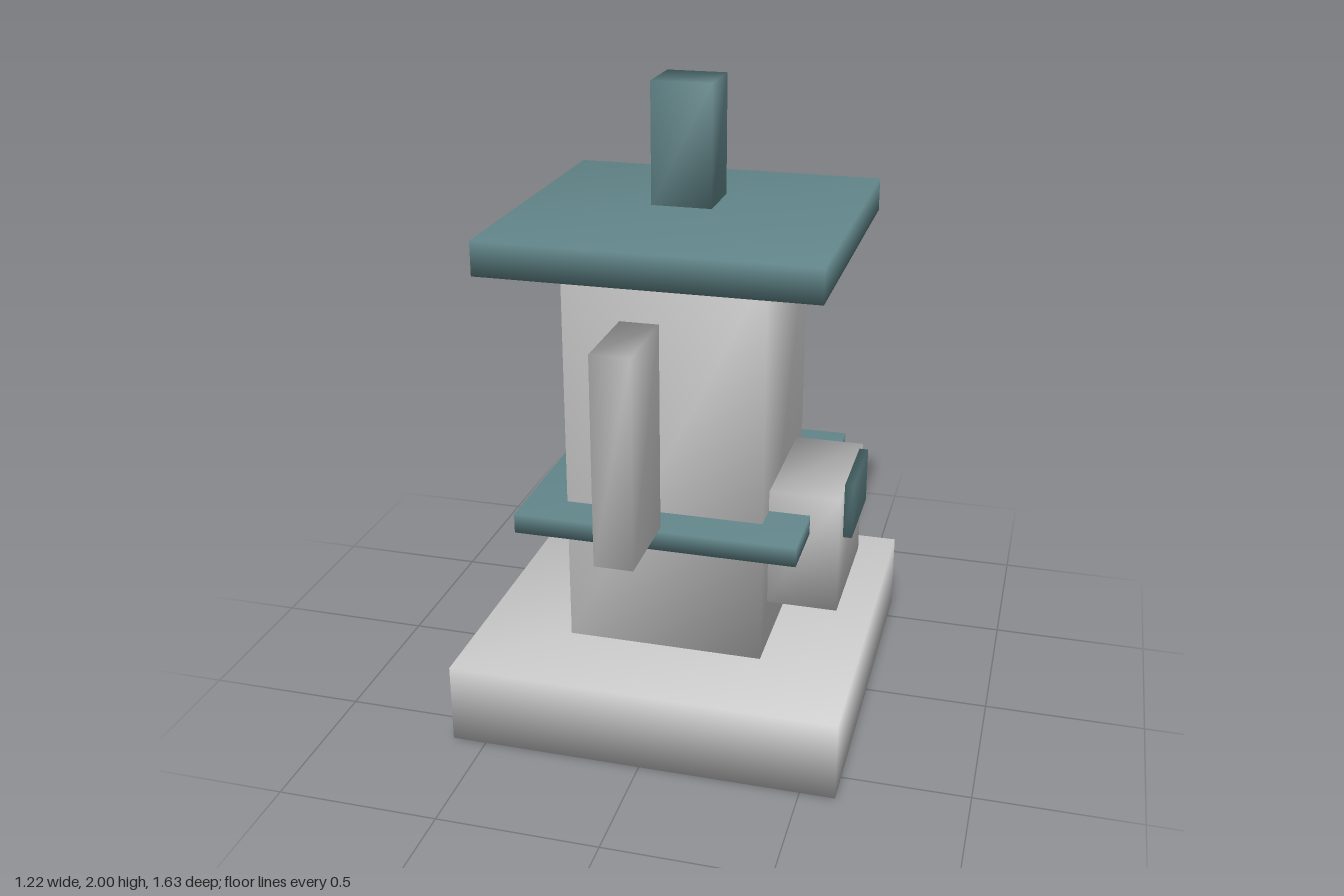
import * as THREE from 'three';
import { mergeVertices } from 'three/addons/utils/BufferGeometryUtils.js';

const grey = new THREE.MeshStandardMaterial({ color: 0xcccccc });
const teal = new THREE.MeshStandardMaterial({ color: 0x62868a });

// Box between two corners, with normals shared softly across its edges
function block(name, material, [x0, x1], [y0, y1], [z0, z1]) {
  const box = new THREE.BoxGeometry(x1 - x0, y1 - y0, z1 - z0);
  box.deleteAttribute('normal');
  box.deleteAttribute('uv');
  const geometry = mergeVertices(box);
  geometry.computeVertexNormals();
  const mesh = new THREE.Mesh(geometry, material);
  mesh.name = name;
  mesh.position.set((x0 + x1) / 2, (y0 + y1) / 2, (z0 + z1) / 2);
  return mesh;
}

const around = (half) => [-half, half];

export function createModel() {
  const model = new THREE.Group();
  model.name = 'tower';

  // Central stack
  model.add(
    block('base', grey, around(0.608), [0, 0.255], around(0.608)),
    block('column', grey, around(0.31), [0.255, 1.5], around(0.31)),
    block('band', teal, around(0.438), [0.663, 0.725], around(0.438)),
    block('roof', teal, around(0.507), [1.5, 1.605], around(0.507)),
    block('finial', teal, around(0.093), [1.63, 2], around(0.093))
  );

  // Housing on the left side with its panel
  model.add(
    block('housing', grey, [0.3, 0.53], [0.408, 0.79], around(0.217)),
    block('panel', teal, [0.53, 0.558], [0.627, 0.805], around(0.142))
  );

  // Free-standing fins in front and behind
  model.add(
    block('frontFin', grey, around(0.057), [0.795, 1.418], [0.543, 0.817]),
    block('backFin', grey, around(0.057), [0.795, 1.418], [-0.817, -0.543])
  );

  return model;
}
